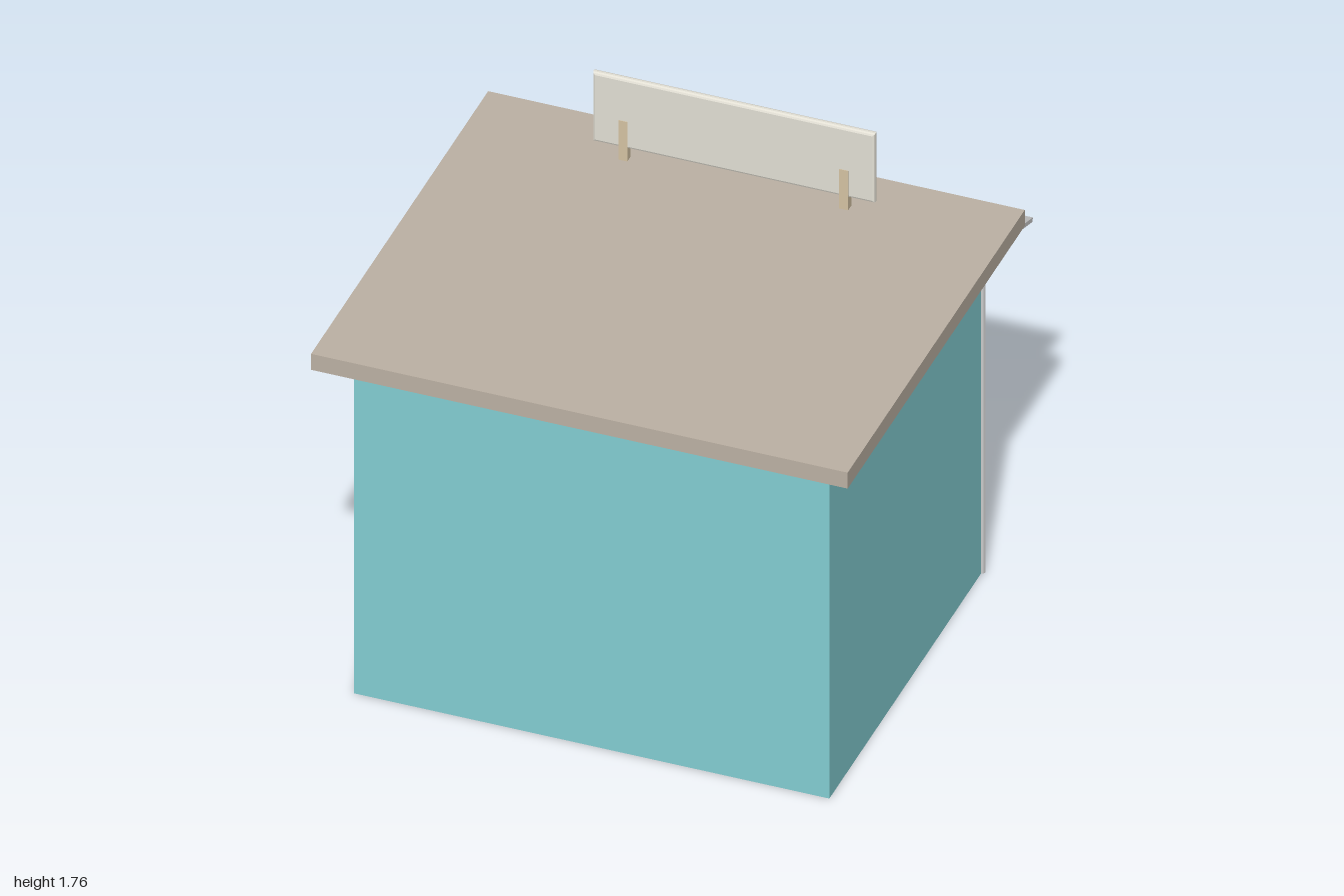
import * as THREE from 'three';

const mat = (color) => new THREE.MeshStandardMaterial({ color, flatShading: true });
const teal = mat(0x84cfd4), brown = mat(0xbdb2a5), wood = mat(0xd6c4a4);
const red = mat(0xee807a), grey = mat(0xcccccc), cream = mat(0xe4e1d6);

export function createModel() {
  const model = new THREE.Group();

  const add = (name, geometry, material, parent = model) => {
    const mesh = new THREE.Mesh(geometry, material);
    mesh.name = name;
    parent.add(mesh);
    return mesh;
  };
  // Box given by its extents on each axis
  const box = (name, [x0, x1], [y0, y1], [z0, z1], material, parent) => {
    const mesh = add(name, new THREE.BoxGeometry(x1 - x0, y1 - y0, z1 - z0), material, parent);
    mesh.position.set((x0 + x1) / 2, (y0 + y1) / 2, (z0 + z1) / 2);
    return mesh;
  };
  // Upright cylinder standing on y0
  const post = (name, r, y0, y1, x, z, sides, material, parent) => {
    const mesh = add(name, new THREE.CylinderGeometry(r, r, y1 - y0, sides), material, parent);
    mesh.position.set(x, (y0 + y1) / 2, z);
    return mesh;
  };

  // Hollow hut with thick walls, no floor, and a serving window at -z
  const W = 0.85, inner = 0.567, H = 1.365, zServe = -0.535, zRear = 0.885, t = 0.12;
  const walls = new THREE.Group();
  walls.name = 'walls';
  model.add(walls);
  box('sideWallLeft', [inner, W], [0, H], [zServe, zRear], teal, walls);
  box('sideWallRight', [-W, -inner], [0, H], [zServe, zRear], teal, walls);
  box('plainWall', [-inner, inner], [0, H], [zRear - t, zRear], teal, walls);
  box('windowSill', [-inner, inner], [0, 0.57], [zServe, zServe + t], teal, walls);
  box('windowHeader', [-inner, inner], [1.07, H], [zServe, zServe + t], teal, walls);

  box('roof', [-0.96, 0.96], [H, 1.43], [-0.64, 1], brown);
  box('counter', [-0.63, 0.63], [0.57, 0.6], [-0.625, -0.41], wood);

  // Thin poles along the serving side, one at each awning seam
  const panel = (2 * W) / 6;
  for (let i = 0; i <= 6; i++) {
    post('facadePole', 0.011, 0, H, -W + i * panel, zServe + 0.004, 8, grey);
  }

  // Sloping awning with alternating stripes
  const awning = new THREE.Group();
  awning.name = 'awning';
  awning.position.set(0, 1.28, zServe);
  awning.rotation.x = -Math.atan2(0.15, 0.46);
  model.add(awning);
  for (let i = 0; i < 6; i++) {
    const x = -W + i * panel;
    box('awningStripe', [x, x + panel], [-0.008, 0.008], [-0.487, 0], i % 2 ? grey : red, awning);
  }

  // Bar stools
  for (const x of [-0.34, 0.34]) {
    const stool = new THREE.Group();
    stool.name = 'stool';
    model.add(stool);
    post('stoolLeg', 0.013, 0, 0.412, x, -0.84, 8, grey, stool);
    post('stoolSeat', 0.096, 0.41, 0.44, x, -0.84, 8, red, stool);
  }

  // Blank roof sign with a bevelled rim, on two brackets
  const b = 0.009, w = 0.505 - b, h = 0.14 - b;
  const outline = new THREE.Shape([[-w, -h], [w, -h], [w, h], [-w, h]].map((p) => new THREE.Vector2(...p)));
  const board = add('signBoard', new THREE.ExtrudeGeometry(outline, {
    depth: 0.008, bevelThickness: b, bevelSize: b, bevelSegments: 2,
  }), cream);
  board.position.set(0, 1.62, -0.444);
  for (const x of [-0.395, 0.395]) {
    box('signBracket', [x - 0.016, x + 0.016], [1.43, 1.59], [-0.455, -0.425], wood);
  }

  return model;
}
